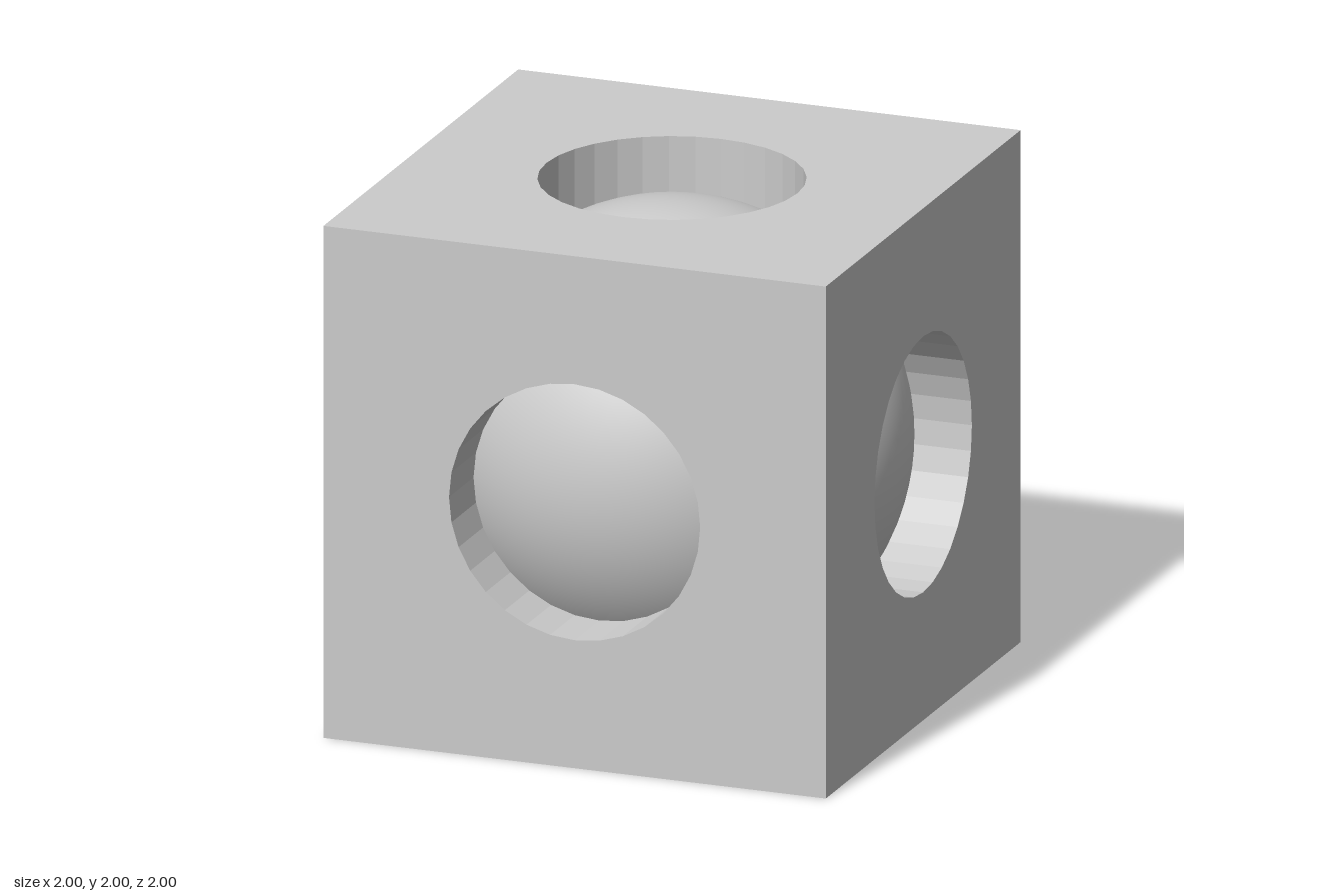
import * as THREE from 'three';

const HALF = 1;        // half the cube's edge
const HOLE = 0.5;      // radius of the round opening
const BALL = 0.9;      // radius of the ball inside
const SIDES = 32;

export function createModel() {
  const model = new THREE.Group();
  model.name = 'cubeWithBall';

  const flat = new THREE.MeshStandardMaterial({ color: 0xcccccc, flatShading: true });
  const wall = new THREE.MeshStandardMaterial({ color: 0xcccccc, flatShading: true, side: THREE.DoubleSide });
  const smooth = new THREE.MeshStandardMaterial({ color: 0xcccccc });

  // Square panel with a round opening, facing +z
  const square = new THREE.Shape();
  square.moveTo(-HALF, -HALF).lineTo(HALF, -HALF).lineTo(HALF, HALF).lineTo(-HALF, HALF).closePath();
  square.holes.push(new THREE.Path().absarc(0, 0, HOLE, 0, Math.PI * 2, true));
  const panelGeo = new THREE.ShapeGeometry(square, SIDES / 2).translate(0, 0, HALF);

  // Bore from the panel down to where it meets the ball
  const seat = Math.sqrt(BALL * BALL - HOLE * HOLE);
  const boreGeo = new THREE.CylinderGeometry(HOLE, HOLE, HALF - seat, SIDES, 1, true)
    .rotateX(Math.PI / 2).translate(0, 0, (HALF + seat) / 2);

  // Part of the ball showing in the opening
  const capGeo = new THREE.SphereGeometry(BALL, SIDES, 12, 0, Math.PI * 2, 0, Math.asin(HOLE / BALL))
    .rotateX(Math.PI / 2);

  // The same set on all six sides
  const q = Math.PI / 2;
  const sides = {
    front: [0, 0], back: [0, 2 * q], left: [0, q], right: [0, -q], top: [-q, 0], bottom: [q, 0],
  };
  for (const [name, [rx, ry]] of Object.entries(sides)) {
    const side = new THREE.Group();
    side.name = name + 'Side';
    for (const [part, geo, mat] of [['Panel', panelGeo, flat], ['Bore', boreGeo, wall], ['BallCap', capGeo, smooth]]) {
      const mesh = new THREE.Mesh(geo, mat);
      mesh.name = name + part;
      side.add(mesh);
    }
    side.rotation.set(rx, ry, 0);
    side.position.y = HALF;
    model.add(side);
  }
  return model;
}
